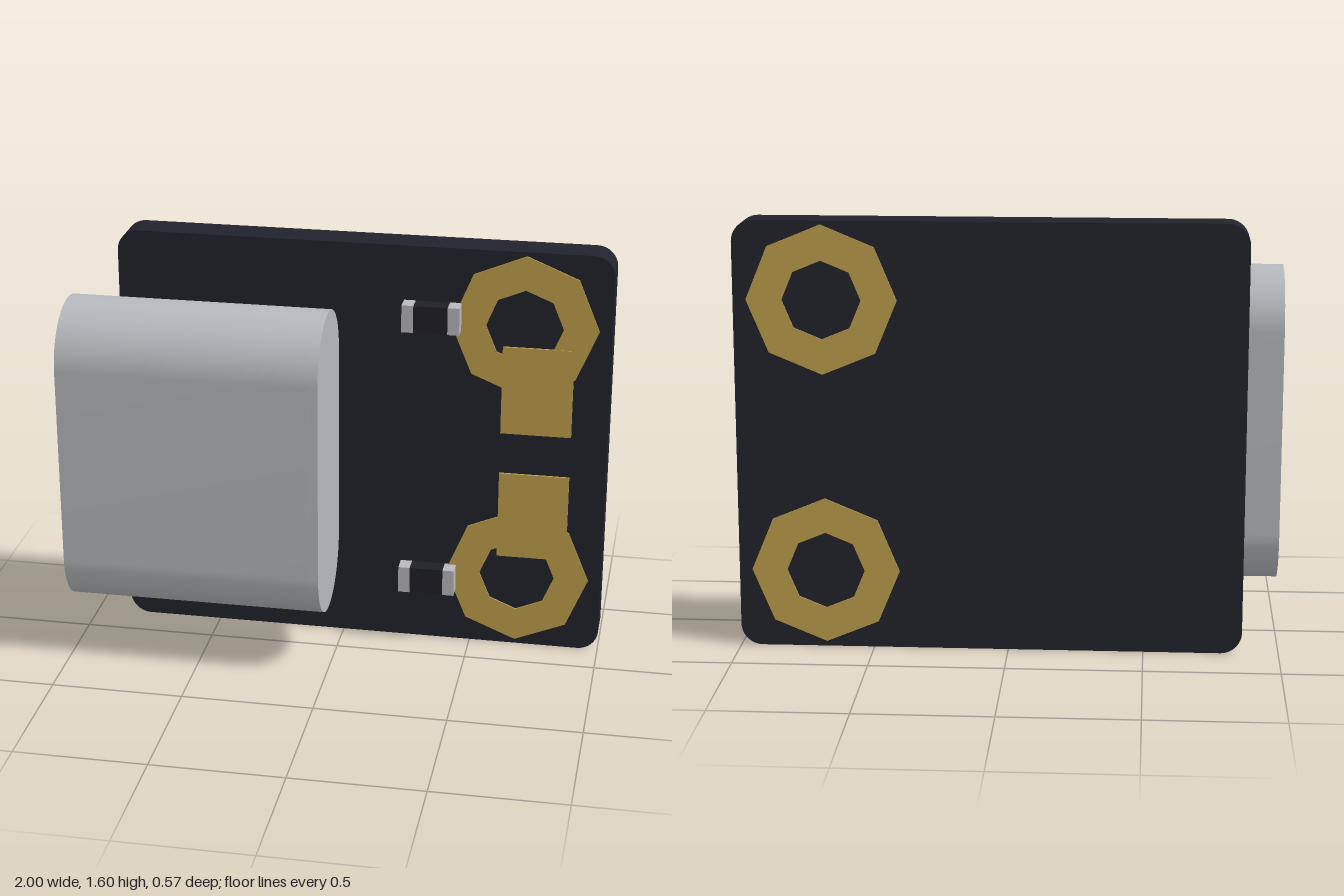
import * as THREE from 'three';
import { toCreasedNormals } from 'three/addons/utils/BufferGeometryUtils.js';

const mat = (name, color) => {
  const m = new THREE.MeshStandardMaterial({ color });
  m.name = name;
  return m;
};

// Rounded rectangle outline centred on the origin
function roundedRect(Type, w, h, r) {
  const p = new Type();
  const x = w / 2 - r, y = h / 2 - r;
  p.absarc(x, y, r, 0, Math.PI / 2);
  p.absarc(-x, y, r, Math.PI / 2, Math.PI);
  p.absarc(-x, -y, r, Math.PI, Math.PI * 1.5);
  p.absarc(x, -y, r, Math.PI * 1.5, Math.PI * 2);
  p.closePath();
  return p;
}

// Octagon with a corner at the top
function octagon(Type, r) {
  const pts = [];
  for (let i = 0; i < 8; i++) {
    const a = (i * Math.PI) / 4;
    pts.push(new THREE.Vector2(r * Math.cos(a), r * Math.sin(a)));
  }
  return new Type(pts);
}

function extrude(shape, depth, curveSegments = 8) {
  const g = new THREE.ExtrudeGeometry(shape, { depth, bevelEnabled: false, curveSegments });
  return toCreasedNormals(g, 0.6);
}

export function createModel() {
  const model = new THREE.Group();
  model.name = 'connectorBoard';

  const boardMat = mat('board black', 0x22222c);
  const metalMat = mat('shell metal', 0xb6b9be);
  const goldMat = mat('gold pad', 0xc0a04c);
  const tinMat = mat('tin terminal', 0xb8b8be);
  const plasticMat = mat('dark plastic', 0x1f1f28);

  const add = (name, geo, material, x, y, z, parent = model) => {
    const mesh = new THREE.Mesh(geo, material);
    mesh.name = name;
    mesh.position.set(x, y, z);
    parent.add(mesh);
    return mesh;
  };

  const front = -0.15, back = -0.281;

  // Circuit board
  add('board', extrude(roundedRect(THREE.Shape, 1.865, 1.6, 0.08), front - back),
    boardMat, 0.0675, 0.8, back);

  // Connector: hollow shell open at -x, closed at the inner end
  const W = 0.435, H = 1.195, wall = 0.036;
  const connector = new THREE.Group();
  connector.name = 'connector';
  connector.position.set(0, 0.8025, 0.0675);
  model.add(connector);

  const shellShape = roundedRect(THREE.Shape, W, H, W / 2);
  shellShape.holes.push(roundedRect(THREE.Path, W - 2 * wall, H - 2 * wall, W / 2 - wall));
  add('connectorShell', extrude(shellShape, 0.94, 14).rotateY(Math.PI / 2),
    metalMat, -1, 0, 0, connector);
  add('connectorEndWall', extrude(roundedRect(THREE.Shape, W, H, W / 2), 0.04, 14).rotateY(Math.PI / 2),
    metalMat, -0.06, 0, 0, connector);
  add('connectorTongue', new THREE.BoxGeometry(0.85, 0.88, 0.09),
    plasticMat, -0.485, 0, 0, connector);

  // Octagonal rings on both faces, solder pads and small chips, mirrored top to bottom
  const ringShape = octagon(THREE.Shape, 0.275);
  ringShape.holes.push(octagon(THREE.Path, 0.144));
  for (const s of [1, -1]) {
    const side = s > 0 ? 'upper' : 'lower';
    const ringY = 0.8025 + s * 0.508;
    add(side + 'FrontRing', extrude(ringShape, 0.006), goldMat, 0.677, ringY, front);
    add(side + 'BackRing', extrude(ringShape, 0.005), goldMat, 0.677, ringY, back - 0.005);
    add(side + 'SolderPad', new THREE.BoxGeometry(0.266, 0.346, 0.008),
      goldMat, 0.731, 0.8025 + s * 0.255, front + 0.004);

    const chip = new THREE.Group();
    chip.name = side + 'Chip';
    chip.position.set(0.333, 0.8025 + s * 0.535, front + 0.0325);
    model.add(chip);
    add('chipBody', new THREE.BoxGeometry(0.13, 0.103, 0.063), plasticMat, 0, 0, -0.001, chip);
    for (const e of [-1, 1]) {
      add('chipTerminal', new THREE.BoxGeometry(0.044, 0.105, 0.065), tinMat, e * 0.086, 0, 0, chip);
    }
  }

  return model;
}
